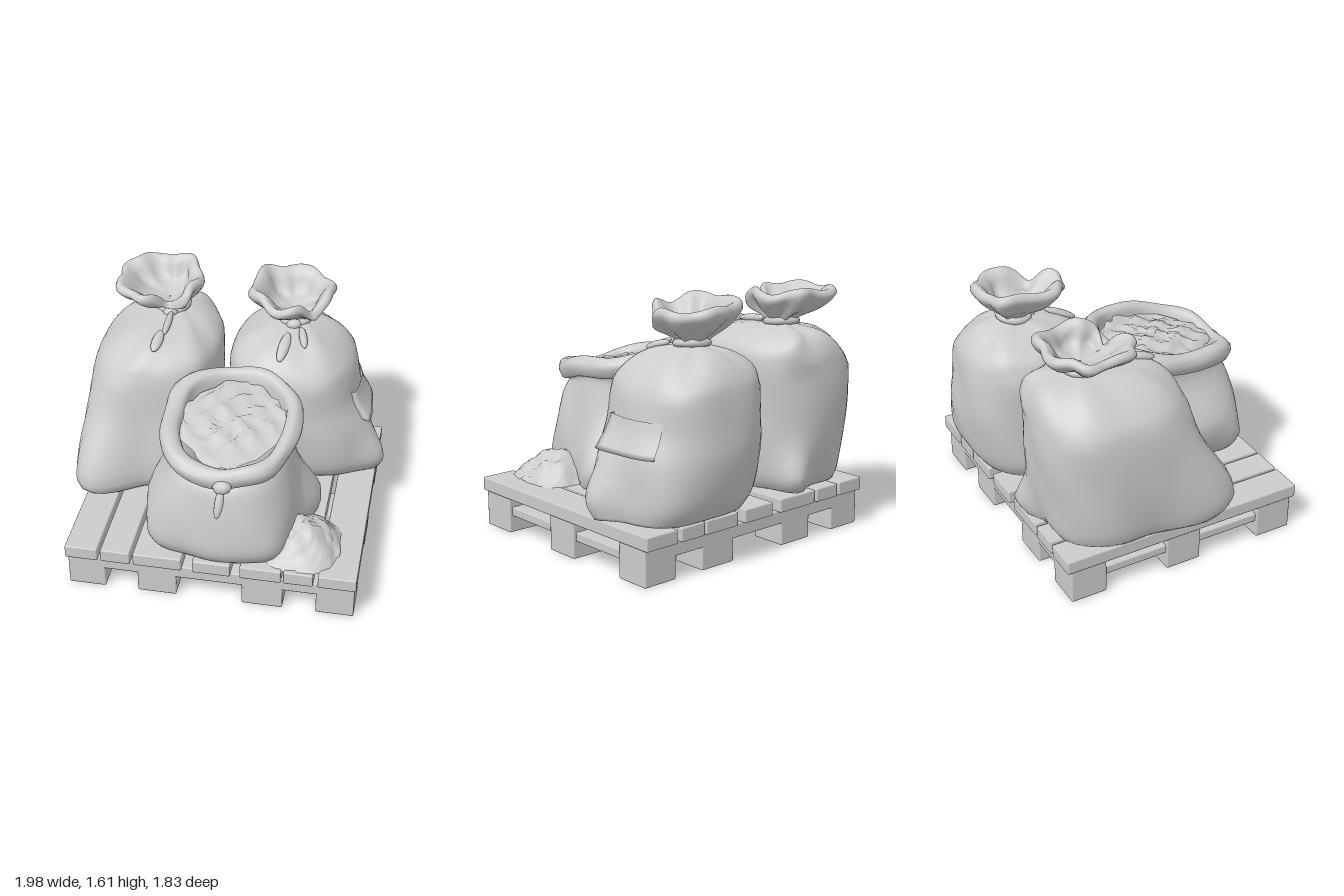
import * as THREE from 'three';
import { RoundedBoxGeometry } from 'three/addons/geometries/RoundedBoxGeometry.js';

const SEG = 60;

// Joins rings of points into a surface; rings run bottom to top, or rim to centre
function skin(rings, closed = true) {
  const n = rings[0].length, pos = rings.flat(2), idx = [];
  for (let j = 0; j < rings.length - 1; j++)
    for (let i = 0; i < (closed ? n : n - 1); i++) {
      const a = j * n + i, b = j * n + (i + 1) % n;
      idx.push(a, a + n, b, b, a + n, b + n);
    }
  const geo = new THREE.BufferGeometry();
  geo.setAttribute('position', new THREE.Float32BufferAttribute(pos, 3));
  geo.setIndex(idx);
  geo.computeVertexNormals();
  return geo;
}

// Catmull-Rom blend of the section rows at v (0 = first row)
function rowAt(rows, v) {
  const i = Math.min(Math.floor(v), rows.length - 2), t = v - i;
  const r = k => rows[Math.max(0, Math.min(rows.length - 1, k))];
  return rows[0].map((_, c) => {
    const [a, b, d, e] = [r(i - 1)[c], r(i)[c], r(i + 1)[c], r(i + 2)[c]];
    return b + 0.5 * t * (d - a + t * (2 * a - 5 * b + 4 * d - e + t * (3 * (b - d) + e - a)));
  });
}

const bell = (x, w) => Math.exp(-((x / w) ** 2));
const turn = a => Math.atan2(Math.sin(a), Math.cos(a));

// Point on a sack. Row: y, centre x, centre z, radius x, radius z, pleat depth, mouth weight
function sackPoint(s, v, th, offset = 0) {
  const [y, cx, cz, rx, rz, pleat, mouth] = rowAt(s.rows, v);
  const c = Math.cos(th), sn = Math.sin(th);
  let f = (Math.abs(c) ** 2.5 + Math.abs(sn) ** 2.5) ** -0.4;
  f *= 1 + pleat * Math.cos(s.lobes * th + s.phase) + 0.4 * pleat * Math.sin((s.lobes + 4) * th);
  if (y < 1.1) f *= 1 + 0.012 * Math.sin(3 * th + 7 * y + s.phase) + 0.01 * Math.sin(7 * th - 11 * y);
  // pulled-out bottom corners: angle, size, width, height
  for (const [ang, size, w, h] of s.corners)
    f *= 1 + size * bell(turn(th - ang), w) * bell(Math.max(0, y - 0.4), h);
  // folds in the mouth: angle, drop, width, inward dent
  let dy = s.tilt[0] * c + s.tilt[1] * sn + 0.012 * Math.sin(5 * th + s.phase);
  for (const [ang, drop, w, dent] of s.folds) {
    const b = bell(turn(th - ang), w);
    dy -= drop * b;
    f *= 1 - mouth * dent * b;
  }
  return [cx + (rx * f + offset) * c, y + mouth * dy, cz + (rz * f + offset) * sn];
}

function sackGeometry(s) {
  const rings = [], steps = (s.rows.length - 1) * 4;
  for (let k = 0; k <= steps; k++)
    rings.push(Array.from({ length: SEG }, (_, i) => sackPoint(s, k / 4, i / SEG * Math.PI * 2)));
  // close the underside
  const [y, cx, cz] = s.rows[0];
  rings.unshift(Array.from({ length: SEG }, () => [cx, y, cz]));
  return skin(rings);
}

// Rough mound of grain
function heapGeometry(cx, cz, rx, rz, height, rough, seed) {
  let st = seed;
  const rnd = () => (st = (st * 16807) % 2147483647) / 2147483647 - 0.5;
  const n = 36, rings = [];
  for (let j = 0; j <= 12; j++) {
    const r = 1 - j / 12;
    rings.push(Array.from({ length: n }, (_, i) => {
      const a = (i + rnd() * 0.5) / n * Math.PI * 2;
      const q = r * (1 + 0.05 * Math.sin(4 * a + seed) + 0.06 * rnd());
      const x = cx + rx * q * Math.cos(a), z = cz + rz * q * Math.sin(a);
      const lump = Math.sin(31 * x + seed) * Math.sin(29 * z) + 1.2 * rnd() * Math.min(1, 3 * r);
      return [x, height(r, z) + rough * lump * (r ? 1 : 0.5), z];
    }));
  }
  return skin(rings);
}

export function createModel() {
  const model = new THREE.Group();
  const grey = new THREE.MeshStandardMaterial({ color: 0xcccccc, side: THREE.DoubleSide });
  grey.name = 'plain grey';
  const add = (parent, name, geo, p = [0, 0, 0], rot = [0, 0, 0], sc = [1, 1, 1]) => {
    const m = new THREE.Mesh(geo, grey);
    m.name = name;
    m.position.set(...p);
    m.rotation.set(...rot);
    m.scale.set(...sc);
    parent.add(m);
    return m;
  };
  const group = name => {
    const g = new THREE.Group();
    g.name = name;
    model.add(g);
    return g;
  };

  // Pallet
  const pallet = group('pallet');
  const slab = (name, x0, x1, y0, y1, z0, z1) => add(pallet, name,
    new RoundedBoxGeometry(x1 - x0, y1 - y0, z1 - z0, 1, 0.01),
    [(x0 + x1) / 2, (y0 + y1) / 2, (z0 + z1) / 2]);
  const planks = [[-0.92, -0.71], [-0.69, -0.5], [-0.48, -0.17], [-0.1, 0.14], [0.2, 0.46], [0.475, 0.66], [0.69, 0.93]];
  for (const [a, b] of planks) slab('deckPlank', a, b, 0.23, 0.32, -0.8, 0.85);
  const rowsZ = [[-0.77, -0.53], [-0.1, 0.14], [0.57, 0.82]];
  const colsX = [[-0.91, -0.67], [-0.46, -0.21], [0.21, 0.47], [0.68, 0.92]];
  for (const [z0, z1] of rowsZ) {
    slab('crossBoard', -0.91, 0.92, 0.145, 0.235, z0, z1);
    for (const [x0, x1] of colsX) slab('block', x0, x1, 0, 0.2, z0, z1);
  }
  for (const [x0, x1] of colsX) slab('lowerRail', x0 + 0.02, x1 - 0.02, 0.11, 0.17, -0.7, 0.75);

  // Tied and open sacks
  const sacks = {
    leftTiedSack: {
      lobes: 7, phase: 0.6, tilt: [0.01, -0.01],
      folds: [[1.1, 0.11, 0.38, 0.36], [-0.2, 0.03, 0.4, 0]],
      corners: [[2.2, 0.58, 0.42, 0.42], [-1.05, 0.24, 0.22, 0.16], [0.9, 0.05, 0.45, 0.35]],
      rows: [
        [0.325, -0.56, -0.3, 0.36, 0.43, 0, 0], [0.44, -0.55, -0.29, 0.4, 0.49, 0, 0],
        [0.8, -0.55, -0.33, 0.42, 0.49, 0, 0], [1.08, -0.54, -0.35, 0.41, 0.48, 0, 0],
        [1.225, -0.5, -0.37, 0.35, 0.44, 0.025, 0], [1.32, -0.48, -0.41, 0.22, 0.33, 0.06, 0],
        [1.36, -0.47, -0.48, 0.085, 0.1, 0.1, 0], [1.4, -0.48, -0.48, 0.1, 0.1, 0.12, 0],
        [1.46, -0.53, -0.47, 0.2, 0.21, 0.1, 0.3], [1.54, -0.555, -0.47, 0.275, 0.285, 0.05, 0.9],
        [1.585, -0.555, -0.47, 0.25, 0.26, 0.05, 1], [1.55, -0.55, -0.47, 0.2, 0.21, 0.06, 1],
        [1.46, -0.52, -0.48, 0.14, 0.14, 0.08, 0.3], [1.415, -0.5, -0.48, 0.005, 0.005, 0, 0],
      ],
    },
    rightTiedSack: {
      lobes: 6, phase: 2.1, tilt: [-0.02, 0],
      folds: [[0.75, 0.08, 0.38, 0.34], [1.9, 0.04, 0.3, 0.08]],
      corners: [[0.32, 0.28, 0.26, 0.2], [-2.4, 0.02, 0.4, 0.4], [-0.8, 0.05, 0.35, 0.3]],
      rows: [
        [0.325, 0.42, -0.47, 0.43, 0.33, 0, 0], [0.44, 0.4, -0.46, 0.47, 0.4, 0, 0],
        [0.68, 0.38, -0.46, 0.465, 0.44, 0, 0], [0.87, 0.345, -0.46, 0.43, 0.44, 0, 0],
        [1.08, 0.33, -0.46, 0.41, 0.425, 0, 0], [1.2, 0.31, -0.47, 0.34, 0.36, 0.025, 0],
        [1.29, 0.32, -0.49, 0.2, 0.24, 0.07, 0], [1.33, 0.33, -0.52, 0.09, 0.1, 0.1, 0],
        [1.37, 0.33, -0.52, 0.095, 0.1, 0.12, 0], [1.44, 0.32, -0.5, 0.19, 0.2, 0.1, 0.3],
        [1.53, 0.31, -0.48, 0.265, 0.29, 0.05, 0.9], [1.58, 0.31, -0.48, 0.24, 0.265, 0.05, 1],
        [1.54, 0.31, -0.48, 0.19, 0.21, 0.06, 1], [1.44, 0.32, -0.5, 0.13, 0.13, 0.08, 0.3],
        [1.395, 0.33, -0.51, 0.005, 0.005, 0, 0],
      ],
    },
    openSack: {
      lobes: 5, phase: 1.2, tilt: [0, -0.075], folds: [[1.5, 0.05, 0.4, 0]],
      corners: [[2.45, 0.15, 0.26, 0.18], [-0.5, 0.34, 0.28, 0.27], [0.8, 0.05, 0.3, 0.2]],
      rows: [
        [0.315, 0.07, 0.42, 0.42, 0.39, 0, 0], [0.42, 0.05, 0.42, 0.46, 0.445, 0, 0],
        [0.62, 0.03, 0.42, 0.465, 0.435, 0, 0], [0.85, 0.06, 0.4, 0.39, 0.415, 0.01, 0.3],
        [0.98, 0.06, 0.38, 0.365, 0.395, 0.01, 0.9], [1.0, 0.06, 0.37, 0.41, 0.44, 0.015, 1],
        [1.07, 0.06, 0.37, 0.435, 0.465, 0.015, 1], [1.125, 0.06, 0.37, 0.395, 0.43, 0.015, 1],
        [1.1, 0.07, 0.37, 0.325, 0.375, 0.015, 1], [0.97, 0.07, 0.37, 0.315, 0.36, 0.01, 1],
      ],
    },
  };
  const parts = {};
  for (const [name, s] of Object.entries(sacks)) {
    parts[name] = group(name);
    add(parts[name], 'cloth', sackGeometry(s));
  }

  // Cords, knots and loose cord ends lying on the shoulders
  const ball = new THREE.SphereGeometry(1, 10, 8);
  const ring = new THREE.TorusGeometry(0.095, 0.024, 8, 24);
  const tie = (sack, x, y, z) => {
    add(sack, 'cord', ring, [x, y, z], [Math.PI / 2 + 0.12, 0.08, 0]);
    add(sack, 'knot', ball, [x, y - 0.01, z + 0.11], [0, 0, 0.3], [0.05, 0.035, 0.035]);
  };
  const cordEnd = (name, th, v0, v1, width) => {
    const a = new THREE.Vector3(...sackPoint(sacks[name], v0, th, 0.015));
    const b = new THREE.Vector3(...sackPoint(sacks[name], v1, th, 0.015));
    const dir = b.clone().sub(a), mid = a.clone().add(b).multiplyScalar(0.5);
    mid.y += 0.015;
    const m = add(parts[name], 'cordEnd', ball, mid.toArray(), [0, 0, 0], [width, dir.length() * 0.55, 0.025]);
    m.quaternion.setFromUnitVectors(new THREE.Vector3(0, 1, 0), dir.normalize());
  };
  tie(parts.leftTiedSack, -0.475, 1.37, -0.48);
  cordEnd('leftTiedSack', 1.62, 4.6, 5.3, 0.036);
  cordEnd('leftTiedSack', 1.5, 5.2, 5.9, 0.024);
  tie(parts.rightTiedSack, 0.33, 1.34, -0.52);
  cordEnd('rightTiedSack', 1.65, 5.2, 6.4, 0.036);
  cordEnd('rightTiedSack', 1.1, 5.7, 6.6, 0.026);
  add(parts.openSack, 'knot', ball, [0.09, 0.92, 0.83], [0, 0, 0.2], [0.06, 0.045, 0.045]);
  add(parts.openSack, 'cordEnd', ball, [0.08, 0.83, 0.875], [-0.4, 0, -0.1], [0.028, 0.1, 0.025]);

  // Patch on the side of the right sack, lifting at its lower and front edges
  const patch = [];
  for (let j = 0; j <= 8; j++)
    patch.push(Array.from({ length: 13 }, (_, i) => {
      const jj = Math.max(1, j), ii = Math.min(11, i);
      const lift = j !== jj || i !== ii ? -0.01 : 0.004 + 0.03 * (1 - jj / 8) + 0.02 * (ii / 11);
      return sackPoint(sacks.rightTiedSack, 2.27 + (jj - 1) / 7 * 1.05, -0.55 + ii / 11 * 0.95, lift);
    }));
  add(parts.rightTiedSack, 'patch', skin(patch, false));

  // Grain in the open sack and the spilled heap
  add(parts.openSack, 'grain', heapGeometry(0.07, 0.37, 0.33, 0.37,
    (r, z) => 1.06 + 0.025 * (1 - r * r) - 0.17 * (z - 0.37), 0.016, 77));
  add(model, 'spilledGrain', heapGeometry(0.55, 0.56, 0.26, 0.29,
    (r, z) => 0.315 + 0.185 * (1 - r ** 1.7) - 0.1 * (z - 0.56) * (1 - r), 0.014, 991));
  return model;
}
